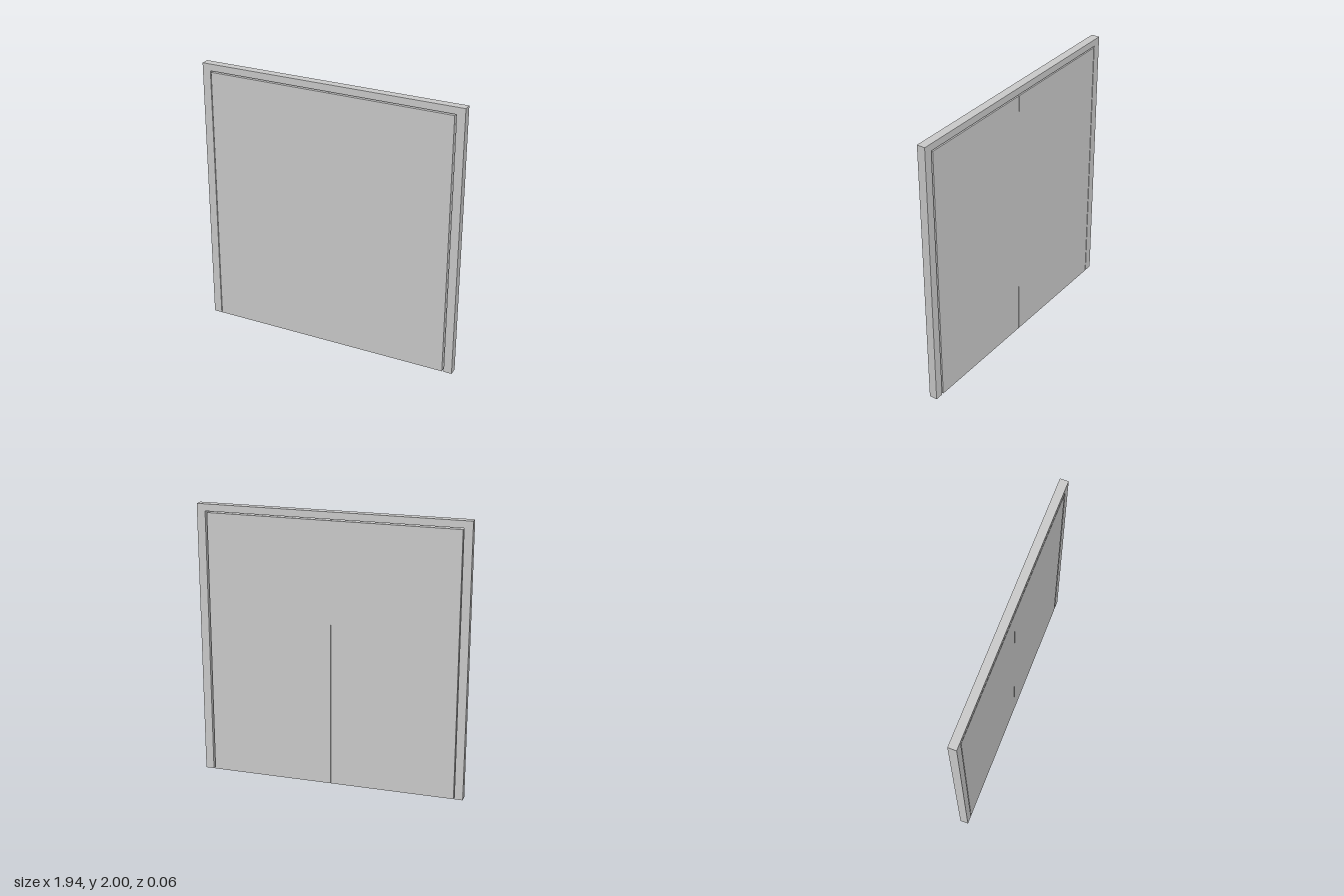
import * as THREE from 'three';

const DEPTH = 0.06;

export function createModel() {
  const model = new THREE.Group();
  model.name = 'doubleDoor';
  const material = new THREE.MeshStandardMaterial({ color: 0xcccccc });

  // Frame: two jambs and a head in one piece, open at the floor
  const outer = 0.97, inner = 0.91, top = 2, head = 1.95;
  const outline = new THREE.Shape([
    [-outer, 0], [-inner, 0], [-inner, head], [inner, head],
    [inner, 0], [outer, 0], [outer, top], [-outer, top],
  ].map(([x, y]) => new THREE.Vector2(x, y)));
  const frameGeometry = new THREE.ExtrudeGeometry(outline, { depth: DEPTH, bevelEnabled: false });
  frameGeometry.translate(0, 0, -DEPTH / 2);
  const frame = new THREE.Mesh(frameGeometry, material);
  frame.name = 'frame';
  model.add(frame);

  // Door leaves: flush slabs with a hairline seam between them
  const leafHeight = 1.94;
  const addLeaf = (name, x0, x1) => {
    const leaf = new THREE.Mesh(new THREE.BoxGeometry(x1 - x0, leafHeight, DEPTH), material);
    leaf.position.set((x0 + x1) / 2, leafHeight / 2, 0);
    leaf.name = name;
    model.add(leaf);
  };
  addLeaf('rightLeaf', -0.904, -0.001);
  addLeaf('leftLeaf', 0.001, 0.897);

  return model;
}
